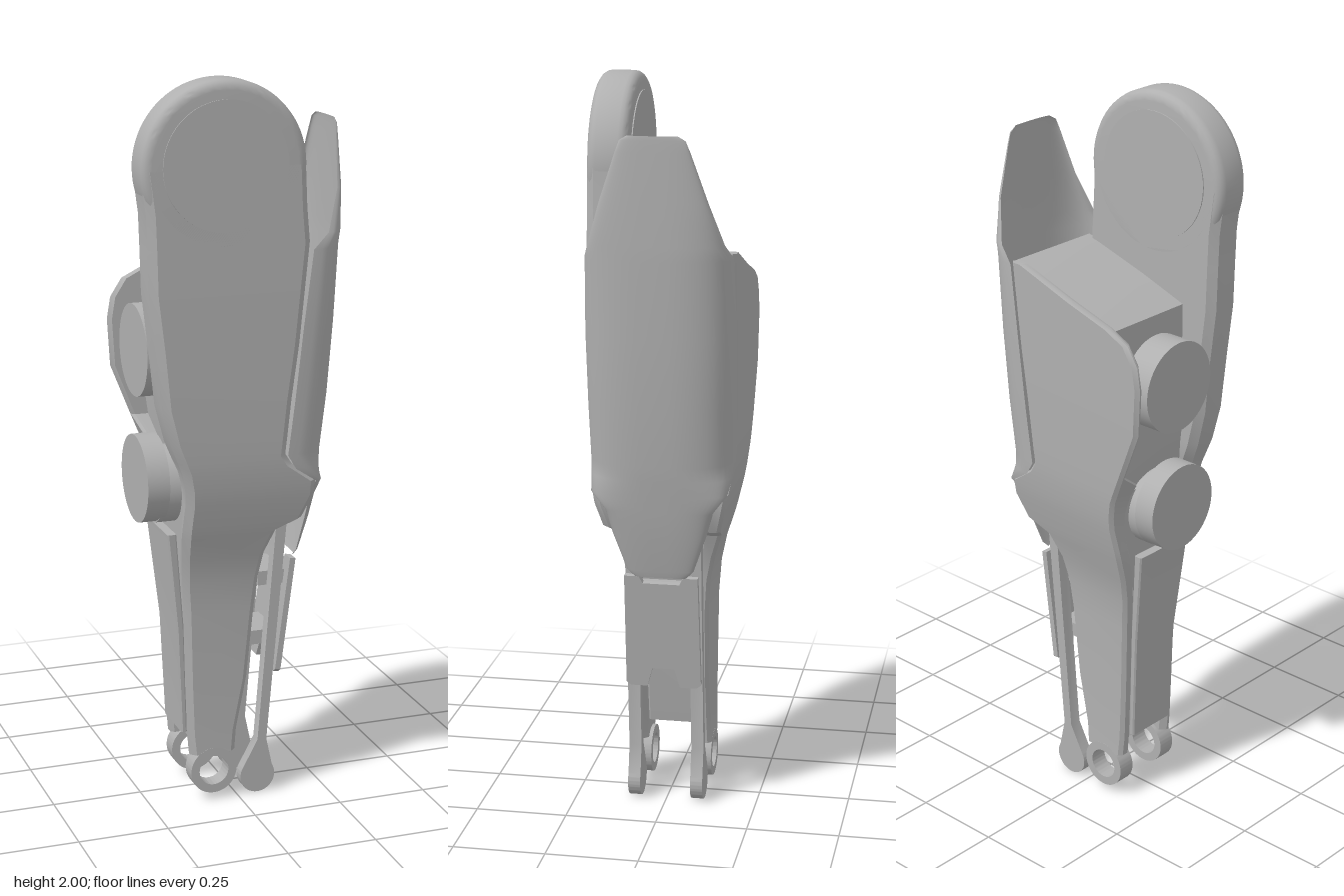
import * as THREE from 'three';
import { toCreasedNormals } from 'three/addons/utils/BufferGeometryUtils.js';

const grey = new THREE.MeshStandardMaterial({ color: 0xb0b0b0 });
grey.name = 'grey';
const greyShell = grey.clone();
greyShell.name = 'grey shell';
greyShell.side = THREE.DoubleSide;

// Joins closed sections of [x, y, z] points, bottom to top, and caps both ends
function loft(sections) {
  const n = sections[0].length, pos = sections.flat(2), idx = [];
  for (let i = 0; i < sections.length - 1; i++) {
    for (let j = 0; j < n; j++) {
      const a = i * n + j, b = i * n + (j + 1) % n;
      idx.push(a, b, a + n, b, b + n, a + n);
    }
  }
  const top = (sections.length - 1) * n;
  for (let j = 1; j < n - 1; j++) idx.push(0, j + 1, j, top, top + j, top + j + 1);
  const g = new THREE.BufferGeometry();
  g.setAttribute('position', new THREE.Float32BufferAttribute(pos, 3));
  g.setIndex(idx);
  return toCreasedNormals(g, 0.6);
}

// Rectangle with cut corners, front edge first
function section(y, xl, xr, z0, z1, c) {
  return [
    [xl + c, y, z1], [xr - c, y, z1], [xr, y, z1 - c], [xr, y, z0 + c],
    [xr - c, y, z0], [xl + c, y, z0], [xl, y, z0 + c], [xl, y, z1 - c],
  ];
}

// Rows: height, left x, right x, outer z, inner z; side is +1 front, -1 back
function plate(rows, side, c) {
  return loft(rows.map(([y, xl, xr, zo, zi]) => {
    const k = Math.min(c, (zo - zi) * 0.4, (xr - xl) * 0.3);
    return section(y, xl, xr, side > 0 ? zi : -zo, side > 0 ? zo : -zi, k);
  }));
}

function extrude(shape, depth, z, bevel = 0) {
  const g = new THREE.ExtrudeGeometry(shape, {
    depth: depth - 2 * bevel, bevelEnabled: bevel > 0, bevelSize: bevel,
    bevelThickness: bevel, bevelSegments: 4, curveSegments: 40,
  });
  return toCreasedNormals(g.translate(0, 0, z + bevel), 0.6);
}

function polygon(points) {
  return new THREE.Shape(points.map(([x, y]) => new THREE.Vector2(x, y)));
}

export function createModel() {
  const group = new THREE.Group();
  const add = (name, geometry, material = grey) => {
    const mesh = new THREE.Mesh(geometry, material);
    mesh.name = name;
    group.add(mesh);
    return mesh;
  };

  // Side plates: shared lower leg, different upper parts
  const lower = [
    [0.14, -0.135, -0.005, 0.11, 0.07],
    [0.2, -0.14, 0, 0.108, 0.07],
    [0.35, -0.145, 0.03, 0.108, 0.07],
    [0.55, -0.15, 0.05, 0.11, 0.07],
    [0.64, -0.157, 0.06, 0.116, 0.075],
    [0.71, -0.163, 0.072, 0.13, 0.085],
    [0.78, -0.168, 0.1, 0.152, 0.1],
    [0.81, -0.168, 0.17, 0.16, 0.11],
    [0.88, -0.165, 0.2, 0.177, 0.12],
    [0.92, -0.168, 0.2, 0.184, 0.12],
    [0.97, -0.178, 0.13, 0.19, 0.11],
    [1.0, -0.19, 0.11, 0.192, 0.1],
  ];
  const frontUpper = [
    [1.05, -0.21, 0.115, 0.194, 0.095],
    [1.15, -0.235, 0.125, 0.196, 0.092],
    [1.3, -0.25, 0.145, 0.198, 0.09],
    [1.45, -0.268, 0.16, 0.198, 0.09],
    [1.57, -0.271, 0.172, 0.198, 0.09],
    [1.66, -0.274, 0.164, 0.198, 0.09],
    [1.775, -0.289, 0.159, 0.198, 0.09],
  ];
  const backUpper = [
    [1.05, -0.21, 0.115, 0.194, 0.17],
    [1.19, -0.265, 0.13, 0.197, 0.172],
    [1.32, -0.272, 0.147, 0.199, 0.174],
    [1.38, -0.262, 0.154, 0.199, 0.174],
    [1.43, -0.23, 0.16, 0.199, 0.174],
    [1.46, -0.17, 0.163, 0.199, 0.174],
    [1.5, -0.04, 0.168, 0.199, 0.174],
    [1.56, 0.13, 0.174, 0.199, 0.174],
  ];
  add('frontSidePlate', plate([...lower, ...frontUpper], 1, 0.02));
  add('backSidePlate', plate([...lower, ...backUpper], -1, 0.01));

  // Round joint head on the front plate, with a shallow round cover each side
  const head = new THREE.Shape().absarc(-0.065, 1.775, 0.2, 0, Math.PI * 2);
  add('jointHead', extrude(head, 0.108, 0.09, 0.025));
  for (const z of [0.198, 0.09]) {
    const cover = add('jointCover', new THREE.CylinderGeometry(0.17, 0.17, 0.006, 48));
    cover.rotation.x = Math.PI / 2;
    cover.position.set(-0.065, 1.78, z);
  }

  // Inner body with a sloping top
  add('upperCore', extrude(polygon([
    [-0.15, 0.95], [0.1, 0.95], [0.11, 1.02], [0.172, 1.56],
    [0.13, 1.55], [-0.03, 1.5], [-0.17, 1.45], [-0.17, 1.1],
  ]), 0.277, -0.177));
  add('lowerCore', loft([
    [0.19, -0.135, -0.03, 0.072], [0.4, -0.14, 0.01, 0.072], [0.65, -0.15, 0.04, 0.08],
    [0.78, -0.155, 0.07, 0.11], [0.97, -0.16, 0.1, 0.15],
  ].map(([y, xl, xr, z]) => section(y, xl, xr, -z, z, 0.006))));

  // Thin shin panel
  add('shinPanel', loft([
    [0.2, -0.152, -0.136, 0.075], [0.5, -0.165, -0.145, 0.08], [0.78, -0.195, -0.17, 0.095],
  ].map(([y, xl, xr, z]) => section(y, xl, xr, -z, z, 0.004))));

  // Round caps on the shin side: height, z, radius, inner x, outer x
  for (const [y, z, r, x1, x0] of [
    [1.27, -0.015, 0.125, -0.16, -0.252], [0.92, 0, 0.12, -0.195, -0.256], [0.9, 0, 0.105, -0.14, -0.21],
  ]) {
    const cap = add('roundCap', new THREE.CylinderGeometry(r, r, x1 - x0, 40));
    cap.rotation.z = Math.PI / 2;
    cap.position.set((x0 + x1) / 2, y, z);
  }

  // Curved calf shell; rows: height, half width, edge x, outer x
  const rows = [
    [0.68, 0.07, 0.172, 0.182], [0.7, 0.09, 0.175, 0.188], [0.8, 0.125, 0.185, 0.211],
    [0.87, 0.145, 0.192, 0.223], [0.92, 0.182, 0.195, 0.231], [0.96, 0.19, 0.135, 0.238],
    [1.0, 0.194, 0.11, 0.244], [1.15, 0.197, 0.128, 0.262], [1.35, 0.199, 0.15, 0.277],
    [1.55, 0.194, 0.178, 0.287], [1.59, 0.178, 0.225, 0.288], [1.7, 0.142, 0.262, 0.29],
    [1.83, 0.097, 0.275, 0.29], [1.86, 0.085, 0.278, 0.29], [1.872, 0.065, 0.28, 0.289],
  ];
  const steps = 24, pos = [], idx = [];
  rows.forEach(([y, w, xe, xo], i) => {
    for (let j = 0; j <= steps; j++) {
      const t = Math.PI * (0.5 - j / steps), s = Math.sin(t);
      pos.push(xe + (xo - xe) * Math.pow(Math.abs(Math.cos(t)), 0.75), y,
        w * Math.sign(s) * Math.pow(Math.abs(s), 0.75));
      if (i && j) {
        const b = i * (steps + 1) + j, a = b - 1, d = b - steps - 1, c = d - 1;
        idx.push(c, d, a, d, b, a);
      }
    }
  });
  const calf = new THREE.BufferGeometry();
  calf.setAttribute('position', new THREE.Float32BufferAttribute(pos, 3));
  calf.setIndex(idx);
  calf.computeVertexNormals();
  add('calfShell', calf, greyShell);

  // Ankle eyes and push rods, one pair on each side
  const eye = new THREE.Shape().absarc(-0.07, 0.09, 0.066, 0, Math.PI * 2);
  eye.holes.push(new THREE.Path().absarc(-0.07, 0.09, 0.042, 0, Math.PI * 2));
  const rod = new THREE.Shape();
  rod.moveTo(0.115, 0.82);
  rod.lineTo(0.06, 0.16);
  rod.absarc(0.06, 0.055, 0.05, Math.PI * 0.83, Math.PI * 2.17);
  rod.lineTo(0.086, 0.16);
  rod.lineTo(0.145, 0.82);
  for (const s of [1, -1]) {
    add('ankleEye', extrude(eye, 0.05, s * 0.085 - 0.025));
    add('pushRod', extrude(rod, 0.034, s * 0.087 - 0.017));
  }

  // Notched rear guard, tilted, with two cross blocks behind it
  const guard = extrude(polygon([
    [-0.1, 0.165], [-0.103, -0.155], [-0.09, -0.165], [-0.045, -0.165], [-0.03, -0.11],
    [0.03, -0.11], [0.045, -0.165], [0.09, -0.165], [0.103, -0.155], [0.1, 0.165],
    [0.06, 0.165], [0.05, 0.145], [-0.05, 0.145], [-0.06, 0.165],
  ]), 0.016, -0.008).rotateY(Math.PI / 2).rotateZ(-0.135);
  add('rearGuard', guard).position.set(0.14, 0.515, 0);
  for (const [x, y] of [[0.115, 0.62], [0.09, 0.45]]) {
    add('crossBlock', new THREE.BoxGeometry(0.085, 0.04, 0.14)).position.set(x, y, 0);
  }
  return group;
}
